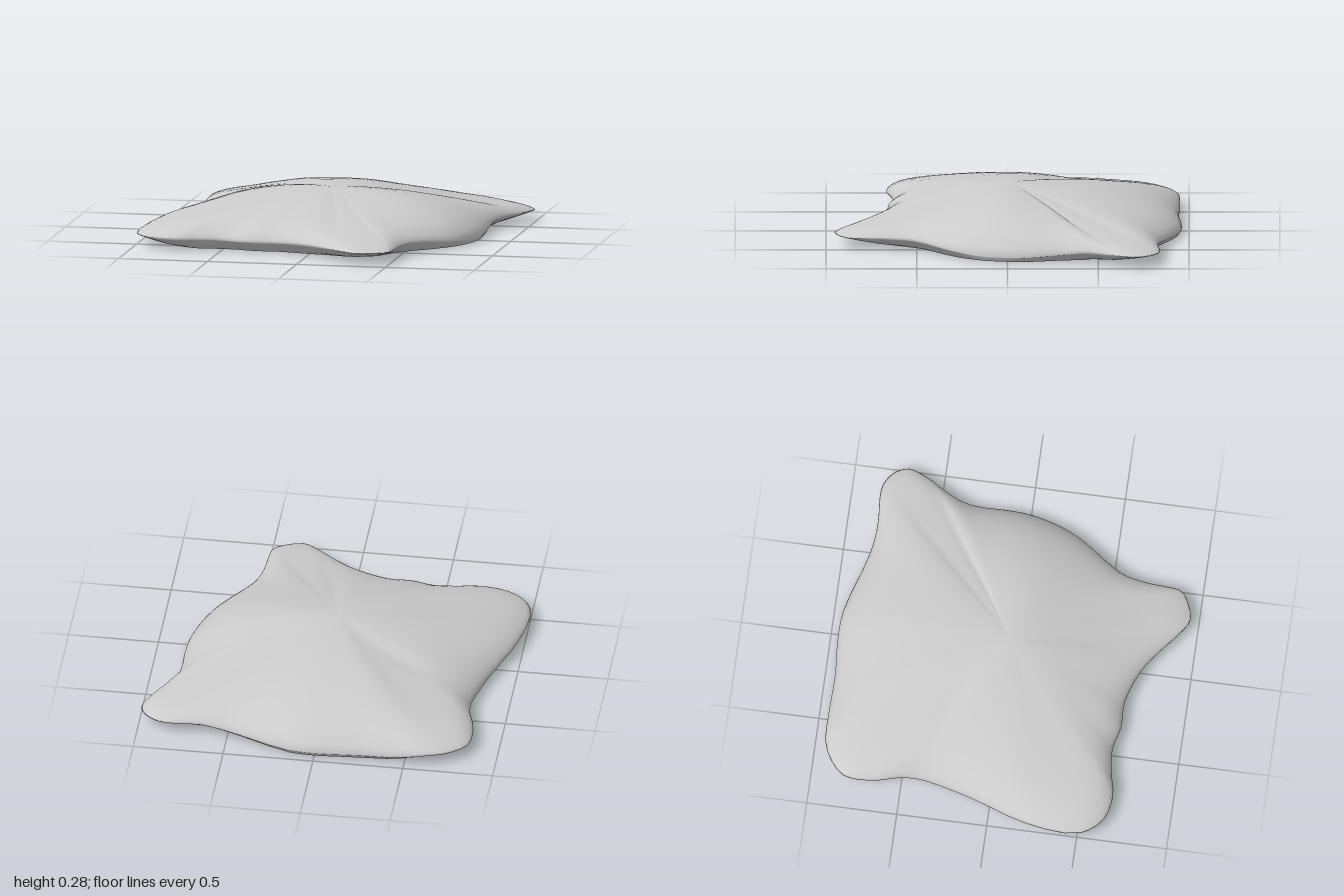
import * as THREE from 'three';

// Outline seen from above, counterclockwise from the front corner:
// x, z, and how much the point belongs to a pinched corner (0..1)
const OUTLINE = [
  [0.33, 0.955, 1], [0.47, 0.9, 1], [0.5, 0.8, 0.8], [0.51, 0.68, 0.6], [0.55, 0.53, 0.4],
  [0.73, 0.28, 0.1], [0.8, 0.12, 0], [0.835, -0.05, 0], [0.835, -0.34, 0.2],
  [0.9, -0.5, 0.5], [0.96, -0.6, 0.8], [0.995, -0.7, 0.85], [0.97, -0.77, 0.85],
  [0.91, -0.82, 0.8], [0.82, -0.84, 0.6], [0.65, -0.83, 0.35], [0.48, -0.85, 0.15],
  [0.14, -0.95, 0], [-0.02, -0.96, 0], [-0.25, -0.945, 0], [-0.48, -0.95, 0.1],
  [-0.71, -0.925, 0.5], [-0.835, -0.82, 0.6], [-0.845, -0.66, 0.5], [-0.805, -0.5, 0.3],
  [-0.8, -0.37, 0.15], [-0.86, -0.12, 0.1], [-0.98, 0.22, 0.35], [-0.995, 0.52, 0.6],
  [-0.91, 0.63, 0.6], [-0.76, 0.67, 0.5], [-0.63, 0.645, 0.4], [-0.48, 0.63, 0.3],
  [-0.35, 0.66, 0.3], [-0.2, 0.66, 0.3], [-0.02, 0.72, 0.4], [0.13, 0.82, 0.7], [0.23, 0.9, 0.9],
];
const COLUMNS = OUTLINE.length * 3;
const TOP = 0.275;

// Shallow crease in the upper fabric
function crease(x, z) {
  const along = (x + 0.42) * 0.93 + (z + 0.29) * 0.36;
  const across = -(x + 0.42) * 0.36 + (z + 0.29) * 0.93;
  return 0.012 * Math.exp(-((along / 0.2) ** 2) - (across / 0.06) ** 2);
}

// Height of the upper skin at fraction s from centre to edge
function upperHeight(s, edge, corner) {
  const side = (1 - s ** 2.4) ** 0.6;
  const tip = 0.2 * (1 - s ** 12) + 0.8 * (1 - s ** 1.7) ** 2.4;
  return edge + (TOP - edge) * THREE.MathUtils.lerp(side, tip, corner);
}

function cushionGeometry() {
  const curve = new THREE.CatmullRomCurve3(
    OUTLINE.map(([x, z, w]) => new THREE.Vector3(x, w, z)), true, 'centripetal');
  const columns = Array.from({ length: COLUMNS }, (_, j) => curve.getPoint(j / COLUMNS));
  const positions = [0, TOP, 0];
  const index = [];
  const upper = [0.1, 0.2, 0.3, 0.4, 0.5, 0.6, 0.7, 0.78, 0.85, 0.9, 0.94, 0.97, 0.985, 0.995, 1];
  const under = [0.08, 0.3, 0.65, 1]; // from the edge inward to the open rim

  for (const s of upper) {
    for (const p of columns) {
      const w = THREE.MathUtils.clamp(p.y, 0, 1);
      const edge = 0.025 + 0.037 * Math.min(1, 3 * w);
      const x = p.x * s, z = p.z * s;
      positions.push(x, upperHeight(s, edge, w) - crease(x, z), z);
    }
  }
  for (const t of under) {
    for (const p of columns) {
      const w = THREE.MathUtils.clamp(p.y, 0, 1);
      const edge = 0.025 + 0.037 * Math.min(1, 3 * w);
      const s = 1 - t * (0.015 + 0.27 * w);
      positions.push(p.x * s, edge * (1 - t) ** 1.3, p.z * s);
    }
  }

  const rings = upper.length + under.length;
  for (let j = 0; j < COLUMNS; j++) {
    const n = (j + 1) % COLUMNS;
    index.push(0, 1 + j, 1 + n);
    for (let i = 0; i < rings - 1; i++) {
      const a = 1 + i * COLUMNS, b = a + COLUMNS;
      index.push(a + j, b + j, b + n, a + j, b + n, a + n);
    }
  }
  const geometry = new THREE.BufferGeometry();
  geometry.setAttribute('position', new THREE.Float32BufferAttribute(positions, 3));
  geometry.setIndex(index);
  geometry.computeVertexNormals();
  return geometry;
}

export function createModel() {
  const group = new THREE.Group();
  group.name = 'cushion';
  // One skin, open underneath
  const skin = new THREE.Mesh(
    cushionGeometry(),
    new THREE.MeshStandardMaterial({ color: 0xcccccc, side: THREE.DoubleSide }));
  skin.name = 'cushionCover';
  group.add(skin);
  return group;
}
